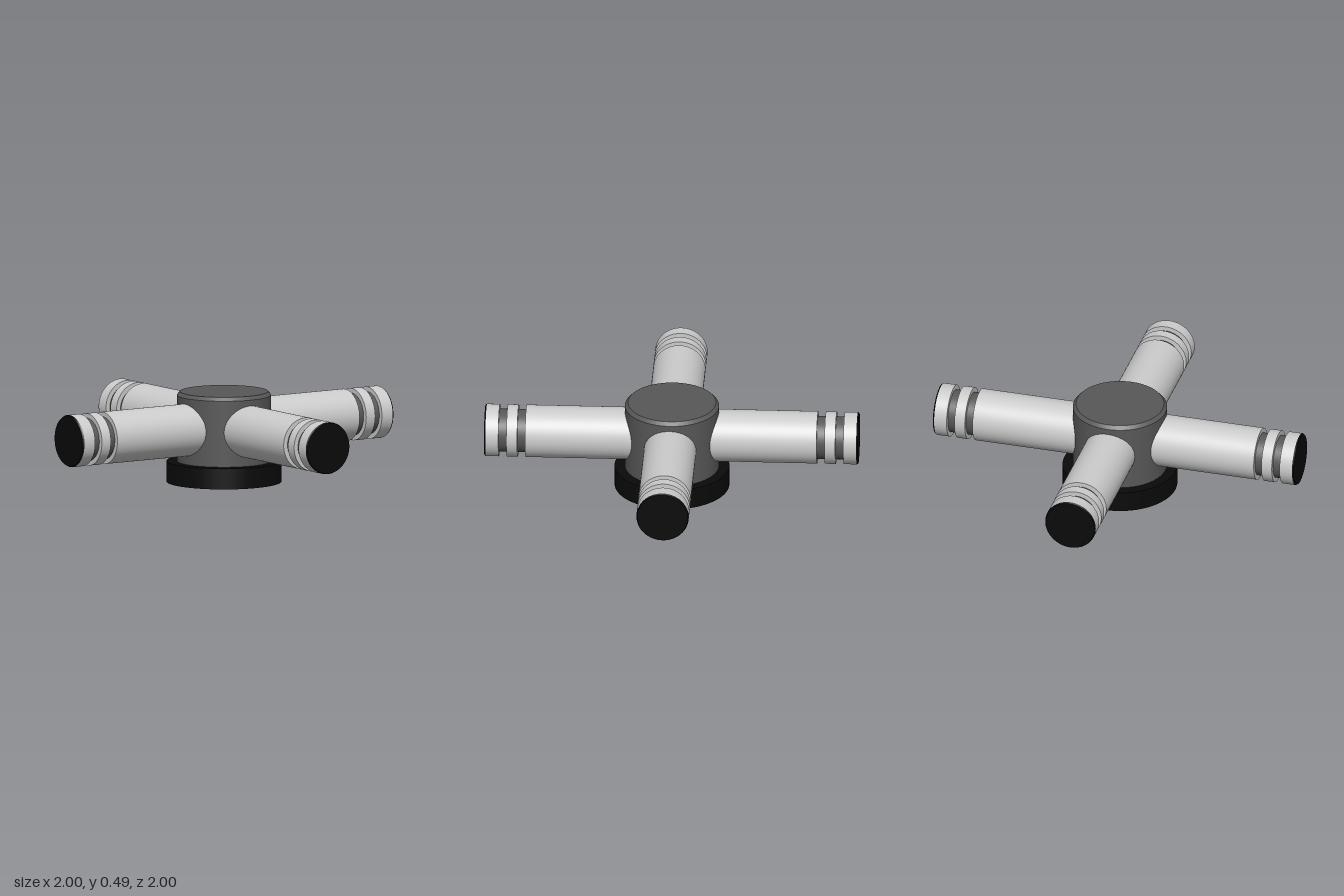
import * as THREE from 'three';

const paint = (color) => new THREE.MeshStandardMaterial({ color });
const light = paint(0xcccccc);
const dark = paint(0x585858);
const black = paint(0x0a0a0a);

const AXIS_Y = 0.297; // height of the arm axes
const ARM_R = 0.14;

// Upright cylinder between two heights
function drum(name, material, y0, y1, rBottom, rTop = rBottom, open = false) {
  const geometry = new THREE.CylinderGeometry(rTop, rBottom, y1 - y0, 64, 1, open);
  const mesh = new THREE.Mesh(geometry, material);
  mesh.name = name;
  mesh.position.y = (y0 + y1) / 2;
  return mesh;
}

// One arm, built along +y from the hub axis outwards
function buildArm() {
  const arm = new THREE.Group();
  arm.add(
    drum('armTube', light, 0.19, 0.78, ARM_R),
    drum('grooveCore', dark, 0.76, 0.94, 0.115),
    drum('middleRing', light, 0.822, 0.88, ARM_R),
    drum('endCollar', light, 0.923, 0.992, ARM_R),
    drum('endCap', black, 0.992, 1, ARM_R, 0.135)
  );
  return arm;
}

export function createModel() {
  const model = new THREE.Group();
  model.name = 'fourWayConnector';

  // Base foot and central hub with a chamfered top
  model.add(drum('baseFoot', black, 0, 0.112, 0.307));
  const hub = new THREE.Group();
  hub.name = 'hub';
  hub.add(
    drum('hubBody', dark, 0.112, 0.468, 0.252, 0.252, true),
    drum('hubChamferedTop', dark, 0.468, 0.487, 0.252, 0.235)
  );
  model.add(hub);

  // Four identical arms around the hub
  ['leftArm', 'backArm', 'rightArm', 'frontArm'].forEach((name, i) => {
    const arm = buildArm();
    arm.rotation.z = -Math.PI / 2;
    const pivot = new THREE.Group();
    pivot.name = name;
    pivot.position.y = AXIS_Y;
    pivot.rotation.y = (i * Math.PI) / 2;
    pivot.add(arm);
    model.add(pivot);
  });

  return model;
}
